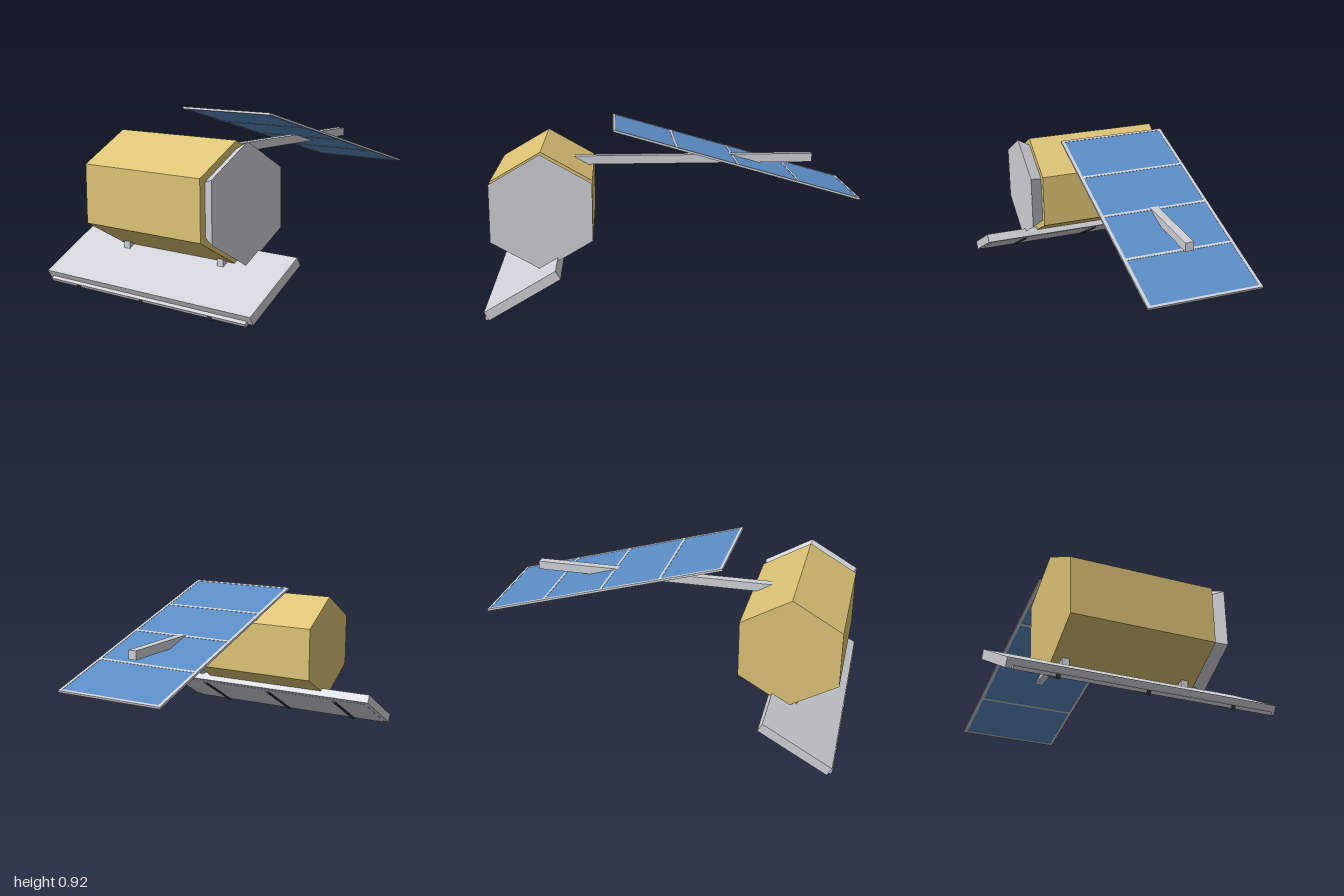
import * as THREE from 'three';

const mat = (name, color) => {
  const m = new THREE.MeshStandardMaterial({ color });
  m.name = name;
  return m;
};

export function createModel() {
  const silver = mat('silver', 0xcdd1d7);
  const gold = mat('gold foil', 0xdcc274);
  const blue = mat('solar blue', 0x5b8dc6);
  const dark = mat('dark grey', 0x404246);
  const model = new THREE.Group();
  model.name = 'satellite';

  const add = (parent, name, geo, material, x, y, z) => {
    const m = new THREE.Mesh(geo, material);
    m.name = name;
    m.position.set(x, y, z);
    parent.add(m);
    return m;
  };
  const box = (parent, name, material, size, pos) =>
    add(parent, name, new THREE.BoxGeometry(...size), material, ...pos);

  // Six-sided prism lying along x, corner pointing up
  const hex = (rRight, rLeft, length) => {
    const g = new THREE.CylinderGeometry(rLeft, rRight, length, 6).toNonIndexed();
    g.rotateY(Math.PI / 6).rotateZ(-Math.PI / 2);
    g.computeVertexNormals();
    return g;
  };

  // Body and its flared end cap on the model's left
  add(model, 'body', hex(0.309, 0.309, 0.78), gold, 0, 0.515, 0.715);
  add(model, 'endCap', hex(0.268, 0.308, 0.07), silver, 0.426, 0.515, 0.715);

  // Tilted antenna slab with backing plate and ribs
  const antenna = new THREE.Group();
  antenna.name = 'antenna';
  antenna.position.set(0, 0.02, 0.973);
  antenna.rotation.x = Math.PI / 6;
  model.add(antenna);
  box(antenna, 'antennaSlab', silver, [1.4, 0.05, 0.42], [0, 0.025, -0.21]);
  box(antenna, 'backingPlate', silver, [1.34, 0.018, 0.4], [0, 0.008, -0.18]);
  for (const x of [-0.455, 0, 0.455])
    box(antenna, 'antennaRib', dark, [0.02, 0.022, 0.37], [x, 0.003, -0.16]);

  // Mounting feet between slab and body
  for (const s of [-1, 1])
    box(model, 'mountingFoot', silver, [0.04, 0.08, 0.05], [s * 0.325, 0.225, 0.741]);

  // Boom carrying the solar panel
  box(model, 'boom', silver, [0.046, 0.048, 1.385], [0, 0.709, -0.0925]);

  // Solar panel: open frame with four cells
  const panel = new THREE.Group();
  panel.name = 'solarPanel';
  panel.position.set(0, 0.724, -0.331);
  panel.rotation.x = -0.283;
  model.add(panel);
  const W = 0.61, L = 1.39, T = 0.012, rim = 0.018;
  for (const s of [-1, 1])
    box(panel, 'frameSide', silver, [rim, T, L], [s * (W - rim) / 2, 0, 0]);
  for (let i = 0; i < 5; i++) {
    const z = (i / 4 - 0.5) * (L - 0.016);
    box(panel, 'frameBar', silver, [W - 2 * rim, T, 0.016], [0, 0, z]);
  }
  const pitch = (L - 0.016) / 4;
  for (let i = 0; i < 4; i++)
    box(panel, 'solarCell', blue, [W - 2 * rim, 0.009, pitch - 0.016], [0, 0, (i - 1.5) * pitch]);

  return model;
}
